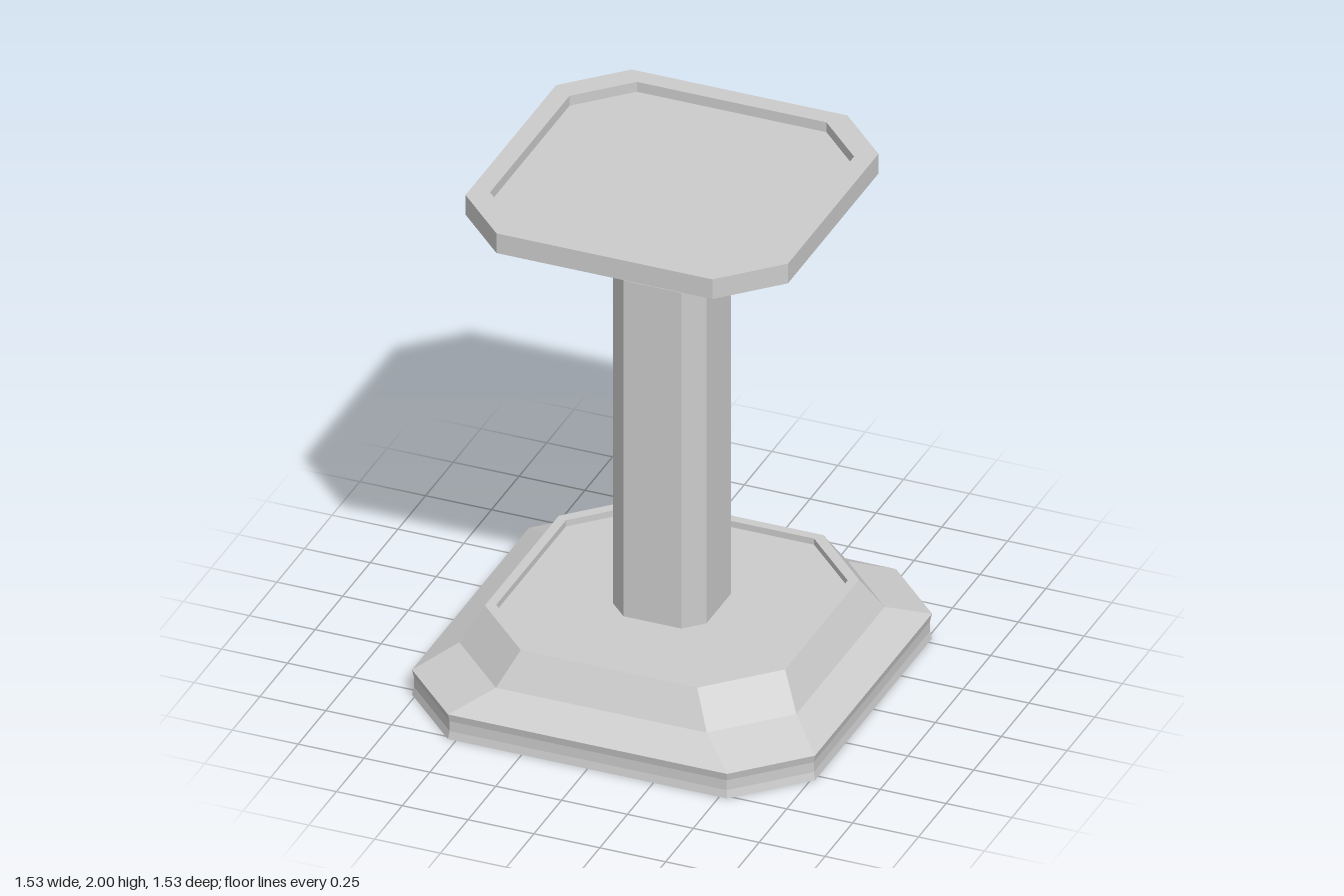
import * as THREE from 'three';

// Chamfered square at height y: half-width a, half-length of each straight side b
const ring = ([a, b, y]) =>
  [[a, b], [a, -b], [b, -a], [-b, -a], [-a, -b], [-a, b], [-b, a], [b, a]].map(([x, z]) => [x, y, z]);

// Skin a stack of chamfered squares, closing both ends
function loft(name, sections, material) {
  const rings = sections.map(ring);
  const positions = [];
  const tri = (...corners) => corners.forEach((p) => positions.push(...p));
  for (let r = 0; r < rings.length - 1; r++) {
    const low = rings[r], high = rings[r + 1];
    for (let i = 0; i < 8; i++) {
      const j = (i + 1) % 8;
      tri(low[i], low[j], high[j]);
      tri(low[i], high[j], high[i]);
    }
  }
  const bottom = rings[0], top = rings[rings.length - 1];
  for (let i = 1; i < 7; i++) {
    tri(bottom[0], bottom[i + 1], bottom[i]);
    tri(top[0], top[i], top[i + 1]);
  }
  const geometry = new THREE.BufferGeometry();
  geometry.setAttribute('position', new THREE.Float32BufferAttribute(positions, 3));
  geometry.computeVertexNormals();
  const mesh = new THREE.Mesh(geometry, material);
  mesh.name = name;
  return mesh;
}

export function createModel() {
  const material = new THREE.MeshStandardMaterial({ color: 0xcccccc, flatShading: true });
  const group = new THREE.Group();
  group.name = 'pedestalTable';

  group.add(
    // Stepped foot with a slightly hollow edge and a shallow recess on top
    loft('base', [
      [0.765, 0.53, 0], [0.759, 0.526, 0.03], [0.759, 0.526, 0.07], [0.765, 0.53, 0.1],
      [0.64, 0.4, 0.17], [0.57, 0.335, 0.3],
      [0.535, 0.315, 0.3], [0.535, 0.315, 0.275],
    ], material),
    // Main shaft
    loft('column', [[0.177, 0.11, 0.26], [0.177, 0.11, 1.64]], material),
    // Narrower shaft under the top
    loft('neck', [[0.145, 0.1, 1.62], [0.145, 0.1, 1.9]], material),
    // Top plate with a sloped underside and a raised rim
    loft('tabletop', [
      [0.145, 0.1, 1.88], [0.612, 0.41, 1.92], [0.612, 0.41, 2],
      [0.54, 0.36, 2], [0.54, 0.36, 1.96],
    ], material),
  );
  return group;
}
